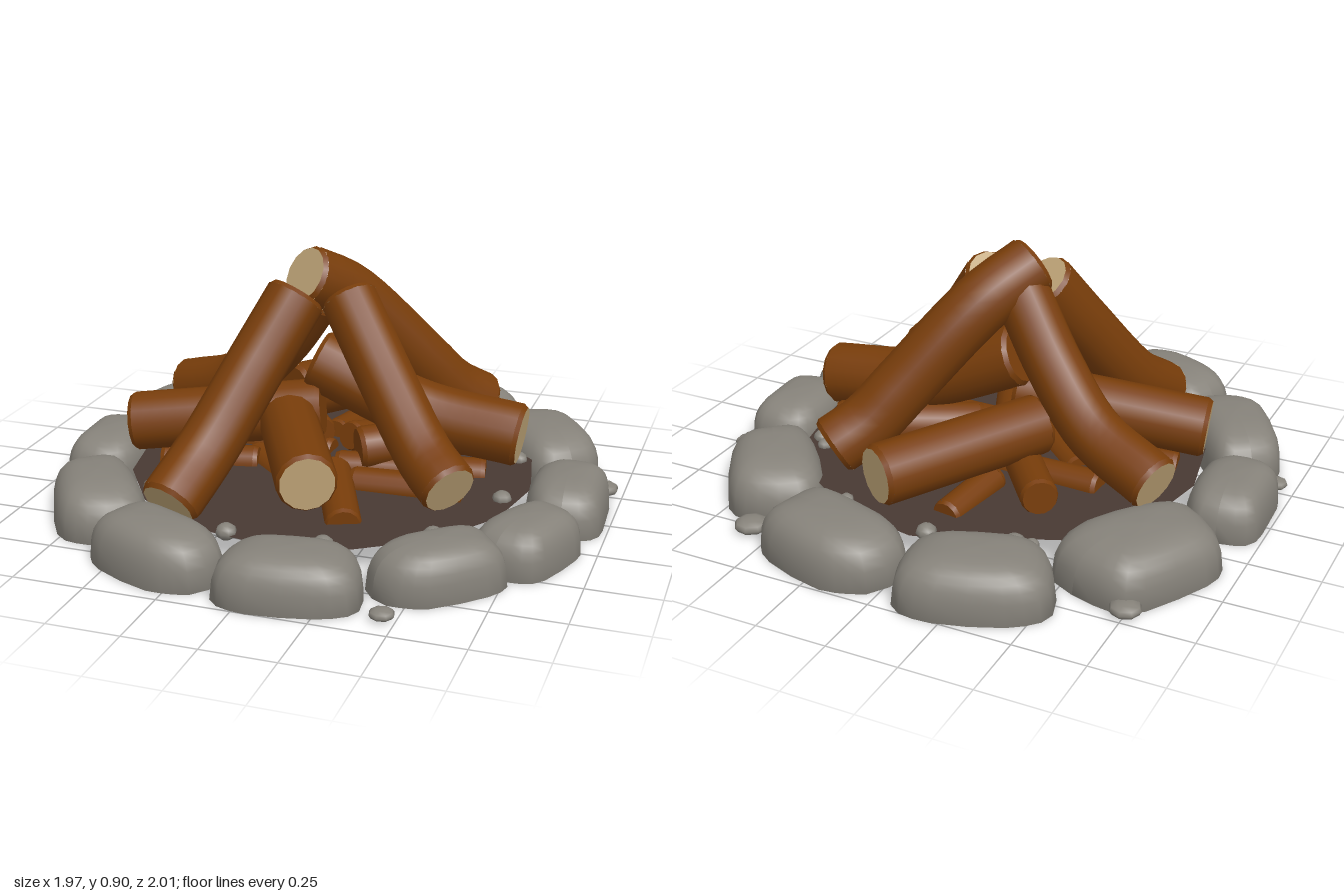
import * as THREE from 'three';

const material = (name, color, extra = {}) => {
  const m = new THREE.MeshStandardMaterial({ color, ...extra });
  m.name = name;
  return m;
};

export function createModel() {
  const root = new THREE.Group();
  root.name = 'campfire';
  const stoneMat = material('grey stone', 0x86827a);
  const barkMat = material('brown bark', 0x783d0a);
  const woodMat = material('cut wood', 0xbfa477);
  const earthMat = material('dark earth', 0x483933, { side: THREE.DoubleSide });

  const add = (parent, name, geometry, mat) => {
    const mesh = new THREE.Mesh(geometry, mat);
    mesh.name = name;
    parent.add(mesh);
    return mesh;
  };

  // Earth floor, with one straight side at the back
  const outline = [];
  for (let i = 0; i < 16; i++) {
    if (i === 9) continue;
    const a = (i * Math.PI) / 8;
    outline.push(new THREE.Vector2(Math.sin(a) * 0.72, -Math.cos(a) * 0.72));
  }
  const floor = add(root, 'earthFloor', new THREE.ShapeGeometry(new THREE.Shape(outline)), earthMat);
  floor.rotation.x = -Math.PI / 2;
  floor.position.y = 0.1;

  // Ring stones: flat-bottomed rounded blocks with a slightly uneven outline
  const power = (v, p) => Math.sign(v) * Math.pow(Math.abs(v), p);
  function stoneGeometry(length, width, height, seed) {
    const geo = new THREE.SphereGeometry(1, 20, 16);
    const p = geo.attributes.position;
    for (let i = 0; i < p.count; i++) {
      const y = p.getY(i);
      const ring = Math.sqrt(Math.max(0, 1 - y * y));
      const a = Math.atan2(p.getZ(i), p.getX(i));
      const wobble = 1 + 0.03 * Math.sin(3 * a + seed * 2.1) + 0.02 * Math.sin(5 * a + seed);
      // below the middle: a narrow rim, then everything closes to the centre of the base
      const base = y > -0.25 ? 0.9 * wobble : 0;
      const spread = y < -1e-6 ? base : Math.pow(ring, 0.65) * wobble;
      const lift = y > 1e-6 ? Math.pow(y, 0.55) : 0;
      const x = power(Math.cos(a), 0.62) * spread * (1 - 0.05 * lift);
      const z = power(Math.sin(a), 0.68) * spread * (1 - 0.05 * lift);
      // the outward side is a little shorter than the inward side
      p.setXYZ(i, x * length / 2 * (1 - 0.06 * z), lift * height, z * width / 2);
    }
    geo.computeVertexNormals();
    return geo;
  }
  // x, z, length, width, height
  const stones = [
    [-0.28, -0.805, 0.52, 0.36, 0.18], [0.25, -0.8, 0.53, 0.34, 0.18],
    [0.67, -0.49, 0.5, 0.34, 0.18], [0.845, -0.045, 0.43, 0.28, 0.17],
    [0.785, 0.34, 0.41, 0.27, 0.165], [0.56, 0.62, 0.45, 0.28, 0.17],
    [0.13, 0.835, 0.48, 0.32, 0.17], [-0.35, 0.78, 0.49, 0.29, 0.18],
    [-0.705, 0.475, 0.51, 0.31, 0.175], [-0.85, 0.04, 0.43, 0.28, 0.17],
    [-0.7, -0.44, 0.55, 0.4, 0.18],
  ];
  const ring = new THREE.Group();
  ring.name = 'stoneRing';
  root.add(ring);
  stones.forEach(([x, z, length, width, height], i) => {
    const stone = add(ring, 'ringStone', stoneGeometry(length, width, height, i), stoneMat);
    stone.position.set(x, 0, z);
    stone.rotation.y = Math.atan2(x, z);
  });

  // Pebbles: x, z, radius
  const pebbles = [
    [-0.75, -0.7, 0.055], [0.58, -0.78, 0.06], [0.93, -0.27, 0.055], [0.455, 0.9, 0.042],
    [-0.93, 0.285, 0.042], [-0.33, -0.62, 0.04], [-0.385, -0.605, 0.026], [-0.04, -0.68, 0.036],
    [0.305, -0.61, 0.026], [0.58, -0.3, 0.028], [0.62, -0.25, 0.034], [0.645, 0.12, 0.034],
    [0.5, 0.48, 0.035], [0.185, 0.66, 0.036], [-0.145, 0.67, 0.036], [-0.53, 0.4, 0.034],
    [-0.54, -0.44, 0.034],
  ];
  pebbles.forEach(([x, z, r], i) => {
    const pebble = add(root, 'pebble', new THREE.SphereGeometry(r, 8, 6), stoneMat);
    const inside = Math.hypot(x, z) < 0.75;
    pebble.position.set(x, inside ? 0.105 : r * 0.45, z);
    pebble.scale.y = inside ? 0.8 : 0.45;
    pebble.rotation.y = i;
  });

  // Log: a swept round bark tube with a bevelled face at each end, inner end first
  function log(name, points, r, innerMat, outerMat) {
    const group = new THREE.Group();
    group.name = name;
    root.add(group);
    const curve = new THREE.CatmullRomCurve3(points.map((p) => new THREE.Vector3(...p)));
    add(group, 'bark', new THREE.TubeGeometry(curve, 16, r, 14), barkMat);
    [innerMat, outerMat].forEach((capMat, t) => {
      const out = curve.getTangent(t).multiplyScalar(t ? 1 : -1);
      const cap = add(group, 'logEnd', new THREE.CylinderGeometry(r * 0.9, r, 0.016, 14), [barkMat, capMat, capMat]);
      cap.quaternion.setFromUnitVectors(new THREE.Vector3(0, 1, 0), out);
      cap.position.copy(curve.getPoint(t)).addScaledVector(out, 0.007);
    });
  }

  // Leaning logs that meet at the top, cut at both ends
  const leaning = {
    backLeaningLog: [[[-0.09, 0.8, 0.015], [0.02, 0.705, -0.13], [0.24, 0.42, -0.32], [0.33, 0.3, -0.4], [0.415, 0.23, -0.485]], 0.108],
    frontLeaningLog: [[[-0.12, 0.73, 0.06], [-0.21, 0.53, 0.2], [-0.32, 0.27, 0.41], [-0.375, 0.145, 0.595]], 0.106],
    leftLeaningLog: [[[0.065, 0.73, 0.025], [0.26, 0.475, 0.17], [0.42, 0.295, 0.3], [0.52, 0.235, 0.385]], 0.1],
    rightLeaningLog: [[[-0.08, 0.72, -0.04], [-0.24, 0.5, -0.11], [-0.42, 0.33, -0.19], [-0.67, 0.24, -0.28]], 0.1],
  };
  for (const [name, [points, r]] of Object.entries(leaning)) log(name, points, r, woodMat, woodMat);

  // Lying logs around the heap, cut at the outer end
  const lying = {
    leftLyingLog: [[[-0.06, 0.48, -0.03], [0.31, 0.325, -0.05], [0.655, 0.275, -0.055]], 0.112],
    frontLyingLog: [[[-0.12, 0.3, 0.14], [0.095, 0.265, 0.56]], 0.103],
    backLyingLog: [[[-0.2, 0.3, -0.17], [0.13, 0.275, -0.68]], 0.105],
    rightLyingLog: [[[-0.05, 0.32, 0.02], [-0.69, 0.245, 0.165]], 0.105],
  };
  for (const [name, [points, r]] of Object.entries(lying)) log(name, points, r, barkMat, woodMat);

  // Kindling, partly sunk into the floor
  const kindling = [
    [[0.13, 0.1, 0.14], [0.5, 0.11, 0.135], 0.06],
    [[0.1, 0.17, -0.02], [0.52, 0.2, -0.28], 0.078],
    [[0.02, 0.09, -0.01], [0.52, 0.09, -0.1], 0.06],
    [[0.03, 0.17, -0.12], [0.18, 0.09, -0.46], 0.055],
    [[-0.08, 0.11, -0.28], [-0.04, 0.09, -0.53], 0.055],
    [[-0.1, 0.17, -0.12], [-0.33, 0.18, -0.43], 0.065],
    [[0.04, 0.12, 0.12], [0.19, 0.09, 0.47], 0.063],
    [[0.03, 0.08, 0.28], [-0.3, 0.08, -0.03], 0.057],
    [[-0.06, 0.09, -0.13], [-0.42, 0.1, -0.15], 0.057],
    [[-0.28, 0.1, 0.06], [-0.6, 0.09, 0.12], 0.057],
  ];
  kindling.forEach(([a, b, r]) => log('kindling', [a, b], r, barkMat, barkMat));

  return root;
}
